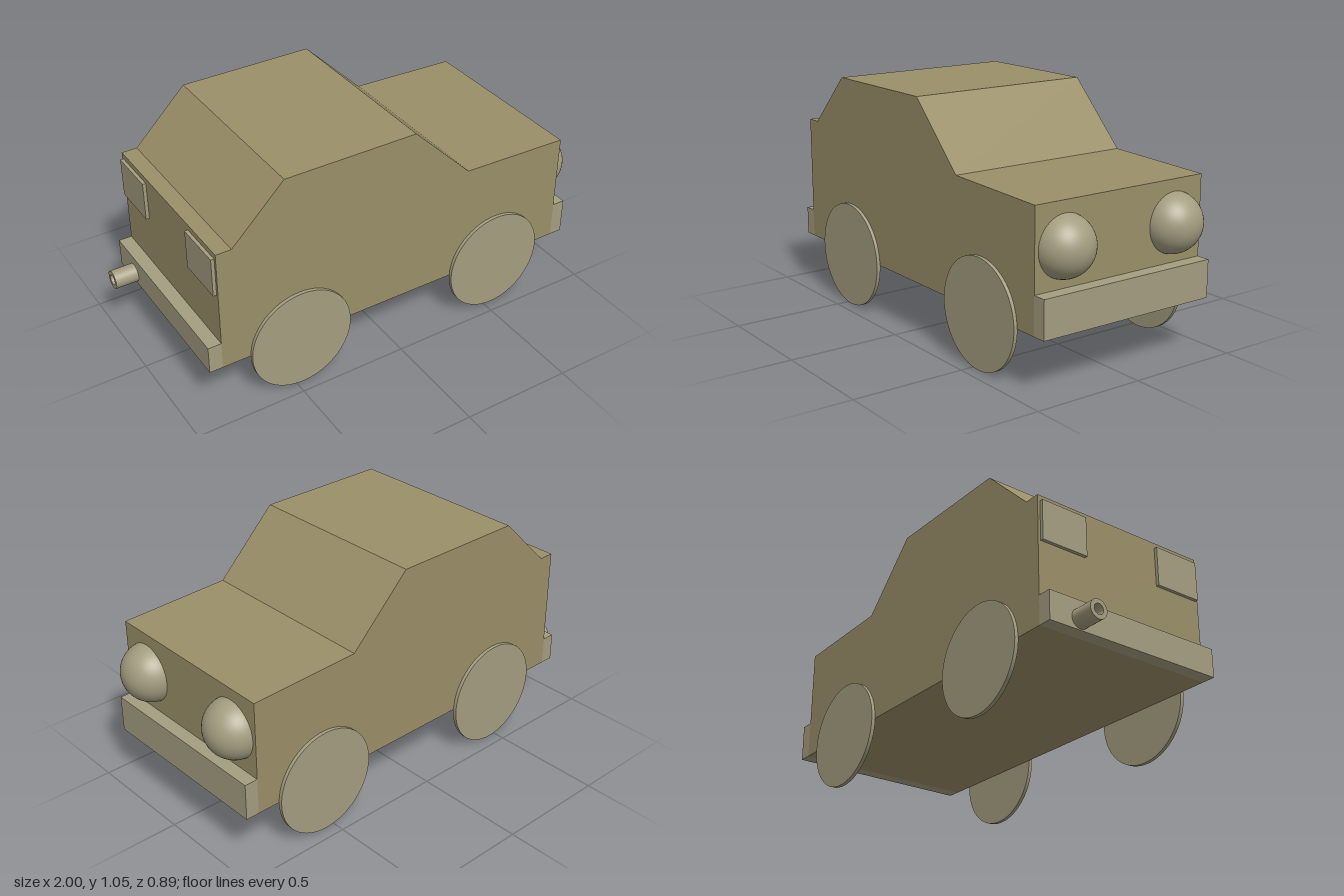
import * as THREE from 'three';

const bodyMat = new THREE.MeshStandardMaterial({ color: 0x9a8f68 });
const trimMat = new THREE.MeshStandardMaterial({ color: 0xa49d80 });

export function createModel() {
  const car = new THREE.Group();
  car.name = 'car';

  const add = (name, geometry, material, x = 0, y = 0, z = 0) => {
    const mesh = new THREE.Mesh(geometry, material);
    mesh.name = name;
    mesh.position.set(x, y, z);
    car.add(mesh);
    return mesh;
  };

  // Box given by its limits along each axis
  const addBox = (name, x0, x1, y0, y1, z0, z1) =>
    add(name, new THREE.BoxGeometry(x1 - x0, y1 - y0, z1 - z0), trimMat,
      (x0 + x1) / 2, (y0 + y1) / 2, (z0 + z1) / 2);

  // Body: side profile extruded across the width, nose towards +x
  const halfWidth = 0.429;
  const base = 0.243;
  const profile = [
    [-0.835, base], [0.88, base], [0.88, 0.757], [0.37, 0.772],
    [0.09, 1.05], [-0.525, 1.05], [-0.765, 0.813], [-0.835, 0.813],
  ];
  const shape = new THREE.Shape(profile.map(([x, y]) => new THREE.Vector2(x, y)));
  const body = new THREE.ExtrudeGeometry(shape, { depth: 2 * halfWidth, bevelEnabled: false });
  add('body', body, bodyMat, 0, 0, -halfWidth);

  // Bumpers
  addBox('noseBumper', 0.88, 0.94, base, 0.408, -halfWidth, halfWidth);
  addBox('tailBumper', -0.895, -0.835, base, 0.37, -halfWidth, halfWidth);

  // Thin disc wheels, headlights and tail lights on both sides
  const wheel = new THREE.CylinderGeometry(0.238, 0.238, 0.017, 64).rotateX(Math.PI / 2);
  const lamp = new THREE.SphereGeometry(0.131, 48, 32);
  for (const side of [-1, 1]) {
    for (const x of [-0.468, 0.538]) add('wheel', wheel, trimMat, x, 0.239, side * 0.436);
    add('headlight', lamp, trimMat, 0.866, 0.575, side * 0.282);
    const z = side * 0.305;
    addBox('tailLight', -0.85, -0.835, 0.61, 0.788, z - 0.112, z + 0.112);
  }

  // Hollow exhaust pipe
  const pipe = [[0.023, 0], [0.042, 0], [0.042, 0], [0.042, 0.11], [0.042, 0.11],
    [0.023, 0.11], [0.023, 0.11], [0.023, 0]].map(([r, y]) => new THREE.Vector2(r, y));
  const exhaust = new THREE.LatheGeometry(pipe, 32).rotateZ(Math.PI / 2);
  add('exhaustPipe', exhaust, trimMat, -0.89, 0.29, -0.28);

  return car;
}
